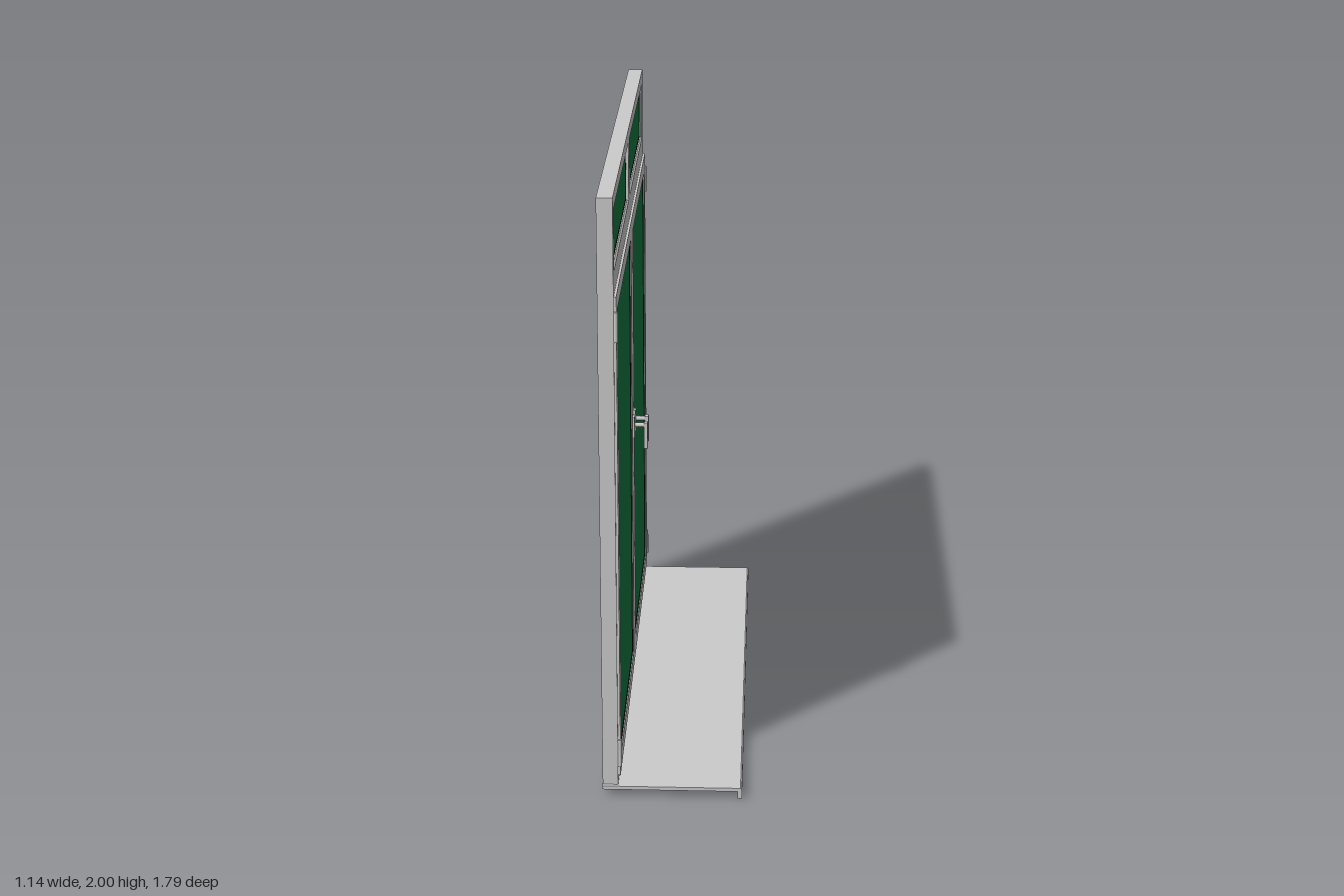
import * as THREE from 'three';

const grey = new THREE.MeshStandardMaterial({ color: 0xcccccc });
const green = new THREE.MeshStandardMaterial({ color: 0x127640 });
const black = new THREE.MeshStandardMaterial({ color: 0x0a0a0a });

function add(parent, name, geometry, material = grey, x = 0, y = 0, z = 0) {
  const mesh = new THREE.Mesh(geometry, material);
  mesh.name = name;
  mesh.position.set(x, y, z);
  parent.add(mesh);
  return mesh;
}

// Box given by its limits
function block(parent, name, [x0, x1], [y0, y1], [z0, z1], material = grey) {
  const g = new THREE.BoxGeometry(x1 - x0, y1 - y0, z1 - z0);
  return add(parent, name, g, material, (x0 + x1) / 2, (y0 + y1) / 2, (z0 + z1) / 2);
}

// Mitred rectangular ring; profile is a closed loop of [inset, z]
function ring([x0, x1], [y0, y1], profile) {
  const corner = (k, [d, z]) => [
    k === 0 || k === 3 ? x0 + d : x1 - d,
    k < 2 ? y0 + d : y1 - d,
    z,
  ];
  const pos = [];
  for (let k = 0; k < 4; k++) {
    profile.forEach((p, j) => {
      const q = profile[(j + 1) % profile.length], n = (k + 1) % 4;
      const a = corner(k, p), b = corner(n, p), c = corner(n, q), d = corner(k, q);
      pos.push(...a, ...d, ...c, ...a, ...c, ...b);
    });
  }
  const g = new THREE.BufferGeometry();
  g.setAttribute('position', new THREE.Float32BufferAttribute(pos, 3));
  g.computeVertexNormals();
  return g;
}

// Glass pane with a dark seal lining its reveal
function pane(parent, xs, ys, sealBack, glassBack, glassFront) {
  block(parent, 'glass', xs, ys, [glassBack, glassFront], green);
  const f = glassFront + 0.002;
  add(parent, 'seal', ring(xs, ys, [[-0.004, sealBack], [0.003, sealBack], [0.003, f], [-0.004, f]]), black);
}

// Handle: plate, neck and a lever hanging down
function handle(parent, x) {
  const g = new THREE.Group();
  g.name = 'handle';
  g.position.set(x, 0, 0);
  block(g, 'handlePlate', [-0.014, 0.014], [0.925, 1.0], [-0.168, -0.16]);
  const neck = new THREE.CylinderGeometry(0.008, 0.008, 0.042, 12).rotateX(Math.PI / 2);
  add(g, 'handleNeck', neck, grey, 0, 0.968, -0.142);
  block(g, 'handleLever', [-0.009, 0.009], [0.885, 0.978], [-0.128, -0.116]);
  parent.add(g);
}

export function createModel() {
  const model = new THREE.Group();
  model.name = 'windowWithSill';
  const w = new THREE.Group();
  w.name = 'window';
  w.rotation.y = 1.996;
  model.add(w);

  // Sill board with a downturned nose
  const sill = new THREE.Shape([
    [-0.226, 0.025], [0.212, 0.025], [0.212, 0], [0.226, 0],
    [0.226, 0.032], [0.221, 0.037], [-0.226, 0.037],
  ].map(([a, b]) => new THREE.Vector2(a, b)));
  const sillGeo = new THREE.ExtrudeGeometry(sill, { depth: 1.757, bevelEnabled: false });
  sillGeo.rotateY(-Math.PI / 2).translate(0.8785, 0, 0);
  add(w, 'sill', sillGeo);

  // Two stacked outer frames
  const frameProfile = [[0, -0.225], [0.044, -0.225], [0.05, -0.218], [0.05, -0.181], [0.044, -0.175], [0, -0.175]];
  const frameX = [-0.866, 0.866];
  add(w, 'lowerFrame', ring(frameX, [0.037, 1.715], frameProfile));
  add(w, 'upperFrame', ring(frameX, [1.715, 2], frameProfile));
  block(w, 'upperMullion', [-0.035, 0.035], [1.76, 1.955], [-0.225, -0.175]);
  block(w, 'lowerMullion', [-0.036, 0.036], [0.08, 1.67], [-0.222, -0.18]);

  const sashProfile = [
    [0, -0.178], [0.03, -0.178], [0.03, -0.205], [0.055, -0.205],
    [0.062, -0.198], [0.062, -0.174], [0.055, -0.167], [0, -0.167],
  ];
  for (const s of [-1, 1]) {
    const span = (a, b) => (s > 0 ? [a, b] : [-b, -a]);

    // Fixed upper light
    pane(w, span(0.035, 0.816), [1.765, 1.95], -0.216, -0.193, -0.186);

    // Opening sash
    const sash = new THREE.Group();
    sash.name = s > 0 ? 'leftSash' : 'rightSash';
    w.add(sash);
    add(sash, 'sashFrame', ring(span(0.001, 0.86), [0.067, 1.69], sashProfile));
    pane(sash, span(0.063, 0.798), [0.129, 1.628], -0.199, -0.18, -0.173);
    handle(sash, s * 0.033);

    // Hinges
    for (const y of [0.15, 1.595]) {
      add(sash, 'hinge', new THREE.CylinderGeometry(0.007, 0.007, 0.095, 12), grey, s * 0.863, y, -0.169);
    }
  }
  return model;
}
